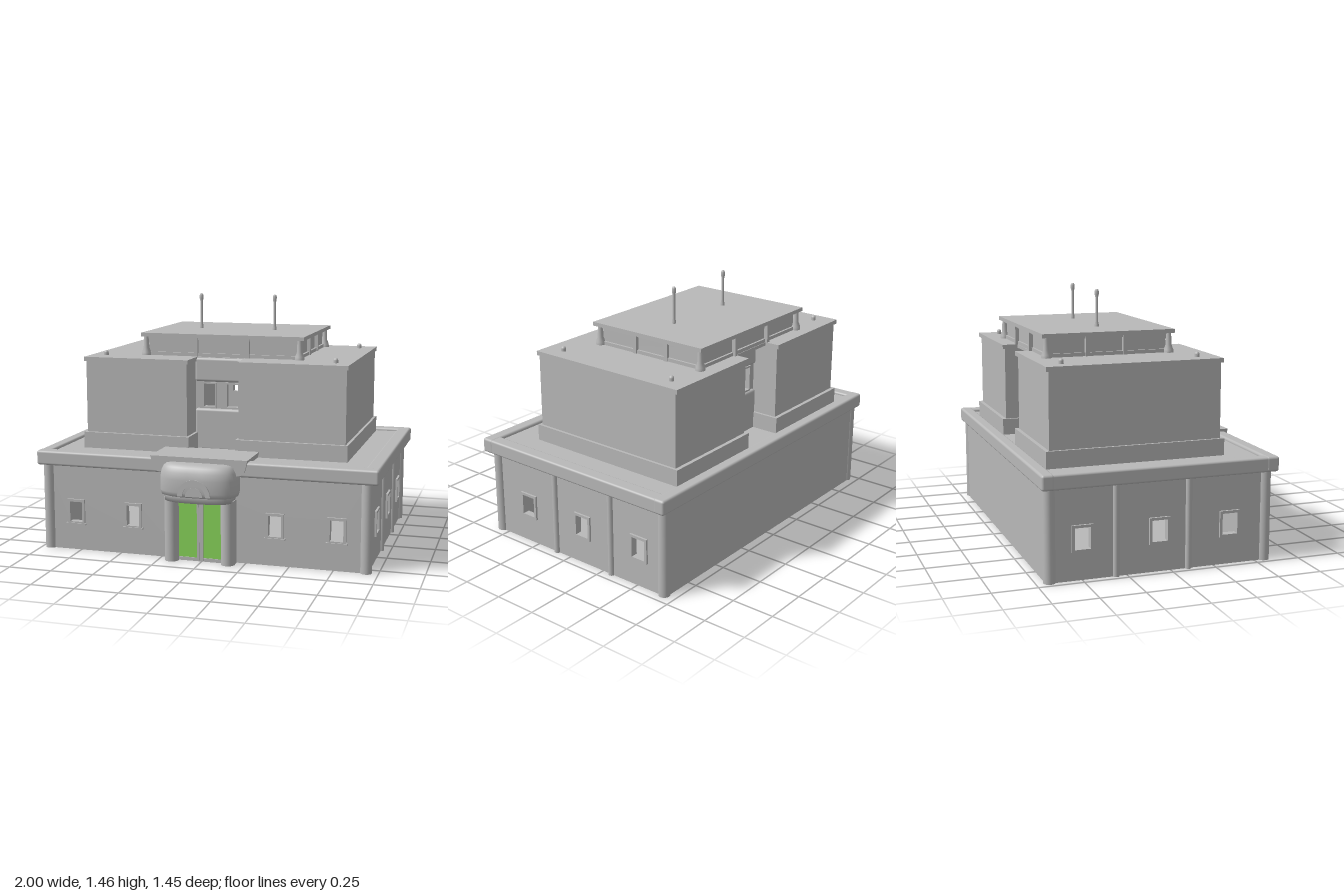
import * as THREE from 'three';
import { RoundedBoxGeometry } from 'three/addons/geometries/RoundedBoxGeometry.js';

export function createModel() {
  const model = new THREE.Group();
  model.name = 'building';
  const grey = new THREE.MeshStandardMaterial({ color: 0xb8b8b8 });
  grey.name = 'concrete grey';
  const green = new THREE.MeshStandardMaterial({ color: 0x88d45a, side: THREE.DoubleSide });
  green.name = 'door green';
  const CX = -0.008; // centre line of everything below the parapet

  function add(name, geometry, x = 0, y = 0, z = 0, material = grey) {
    const mesh = new THREE.Mesh(geometry, material);
    mesh.name = name;
    mesh.position.set(x, y, z);
    model.add(mesh);
    return mesh;
  }
  // box from its limits
  function box(name, x0, x1, y0, y1, z0, z1, round = 0, material = grey) {
    const s = [x1 - x0, y1 - y0, z1 - z0];
    const g = round ? new RoundedBoxGeometry(...s, 3, round) : new THREE.BoxGeometry(...s);
    return add(name, g, (x0 + x1) / 2, (y0 + y1) / 2, (z0 + z1) / 2, material);
  }
  function rect(target, x0, x1, y0, y1) {
    target.moveTo(x0, y0);
    target.lineTo(x1, y0);
    target.lineTo(x1, y1);
    target.lineTo(x0, y1);
    target.closePath();
    return target;
  }
  // upright plate with rectangular openings [x0, x1, y0, y1]
  function plate(limits, holes, depth) {
    const shape = rect(new THREE.Shape(), ...limits);
    for (const h of holes) shape.holes.push(rect(new THREE.Path(), ...h));
    return new THREE.ExtrudeGeometry(shape, { depth, bevelEnabled: false });
  }
  const opening = (c, w) => [c - w / 2, c + w / 2, 0.17, 0.288];
  const frame = (w) => plate([-w / 2 - 0.015, w / 2 + 0.015, 0.155, 0.303], [opening(0, w)], 0.014);

  // Ground floor: hollow shell with window openings
  const frontX = [-0.775, -0.422, 0.418, 0.768];
  add('frontWall', plate([-0.96, 0.944, 0, 0.52],
    [...frontX.map((c) => opening(c, 0.075)), [-0.136, 0.12, 0.015, 0.37]], 0.03), 0, 0, 0.54);
  for (const x of frontX) {
    add('frontWindowFrame', frame(0.075), x, 0, 0.568);
    box('frontWindowSill', x - 0.06, x + 0.06, 0.152, 0.162, 0.565, 0.588);
  }
  box('backWall', -0.96, 0.944, 0, 0.52, -0.7, -0.67);
  const sideZ = { 1: [0.312, -0.105, -0.515], '-1': [0.342, -0.067, -0.5] };
  for (const s of [1, -1]) {
    const wall = add('sideWall', plate([-0.565, 0.695, 0, 0.52],
      sideZ[s].map((z) => opening(-z, 0.088)), 0.03), s > 0 ? 0.914 : -0.96);
    wall.rotation.y = Math.PI / 2;
    for (const z of sideZ[s]) {
      add('sideWindowFrame', frame(0.088), CX + s * 0.95, 0, z).rotation.y = s * Math.PI / 2;
    }
    for (const z of [0.102, -0.312]) {
      add('sidePillar', new THREE.CylinderGeometry(0.018, 0.018, 0.51, 16), CX + s * 0.952, 0.255, z);
    }
    for (const z of [0.558, -0.677]) {
      add('cornerPillar', new THREE.CylinderGeometry(0.033, 0.033, 0.51, 24), CX + s * 0.939, 0.255, z);
    }
  }
  box('groundFloor', -0.94, 0.924, 0.005, 0.015, -0.68, 0.56);

  // Flat lower roof and parapet
  box('lowerRoof', -0.95, 0.935, 0.508, 0.572, -0.69, 0.57);
  box('frontParapet', -1, 1, 0.505, 0.59, 0.545, 0.62, 0.014);
  box('backParapet', -1, 1, 0.505, 0.59, -0.727, -0.657, 0.014);
  box('leftParapet', 0.918, 0.998, 0.505, 0.588, -0.68, 0.57, 0.012);
  box('rightParapet', -0.998, -0.93, 0.505, 0.588, -0.68, 0.57, 0.012);

  // Entrance slab with sloping sides
  const slab = new THREE.Shape();
  slab.moveTo(-0.232, 0.515);
  slab.lineTo(0.232, 0.515);
  slab.quadraticCurveTo(0.265, 0.52, 0.272, 0.56);
  slab.lineTo(0.283, 0.605);
  slab.lineTo(-0.283, 0.605);
  slab.lineTo(-0.272, 0.56);
  slab.quadraticCurveTo(-0.265, 0.52, -0.232, 0.515);
  add('entranceSlab', new THREE.ExtrudeGeometry(slab, { depth: 0.27, bevelEnabled: false }), CX, 0, 0.365);

  // Bulging entrance canopy: a lathe squared off in plan
  function bulge(name, profile, width, depth, zPower) {
    const g = new THREE.LatheGeometry(profile.map((p) => new THREE.Vector2(...p)), 64, Math.PI);
    const p = g.attributes.position;
    for (let i = 0; i < p.count; i++) {
      const x = p.getX(i), z = p.getZ(i), r = Math.hypot(x, z) || 1e-6;
      const square = (v) => Math.sign(v) * Math.abs(v / r) ** 0.7;
      p.setX(i, square(x) * r * width);
      p.setZ(i, square(z) * r ** zPower * depth);
    }
    g.computeVertexNormals();
    add(name, g, CX, 0, 0.6);
  }
  bulge('canopy', [[0, 0.388], [0.9, 0.388], [0.97, 0.395], [1, 0.42], [1, 0.49], [0.975, 0.53],
    [0.92, 0.557], [0.85, 0.571], [0.76, 0.576], [0.4, 0.578], [0, 0.578]], 0.225, 0.12, 2.5);
  bulge('canopyCollar', [[0, 0.36], [1, 0.36], [1, 0.392]], 0.2, 0.108, 1);

  // Half-round ornament on the canopy
  function arch(name, outer, inner, front) {
    const s = new THREE.Shape();
    s.absarc(0, 0, outer, 0, Math.PI, false);
    if (inner) s.absarc(0, 0, inner, Math.PI, 0, true);
    s.closePath();
    add(name, new THREE.ExtrudeGeometry(s, { depth: 0.05, bevelEnabled: false, curveSegments: 24 }),
      CX, 0.402, front - 0.05);
  }
  arch('archRing', 0.095, 0.066, 0.725);
  arch('archCentre', 0.05, 0, 0.724);

  // Entrance pillars, doors and door frame
  for (const s of [1, -1]) {
    const x = CX + s * 0.166;
    add('entrancePillar', new THREE.CylinderGeometry(0.04, 0.04, 0.37, 28), x, 0.185, 0.615);
    box('pillarBacking', x - 0.038, x + 0.038, 0, 0.37, 0.55, 0.612);
    box('door', CX + s * 0.073 - 0.055, CX + s * 0.073 + 0.055, 0.02, 0.365, 0.592, 0.6, 0, green);
    box('doorEdge', CX + s * 0.012 - 0.006, CX + s * 0.012 + 0.006, 0.005, 0.365, 0.585, 0.61);
  }
  box('doorDivider', CX - 0.007, CX + 0.007, 0.005, 0.365, 0.585, 0.604);
  box('doorSill', -0.136, 0.12, 0, 0.02, 0.55, 0.605);

  // Two upper blocks with plinths, caps and roof lights
  for (const s of [1, -1]) {
    const span = (name, inner, outer, y0, y1, z0, z1) => {
      const a = CX + s * inner, b = CX + s * outer;
      box(name, Math.min(a, b), Math.max(a, b), y0, y1, z0, z1);
    };
    span('blockPlinth', 0.14, 0.793, 0.56, 0.667, -0.647, 0.378);
    span('upperBlock', 0.156, 0.778, 0.66, 1.095, -0.625, 0.358);
    span('blockCap', 0.146, 0.787, 1.09, 1.115, -0.64, 0.37);
    for (const z of [0.25, -0.53]) {
      const x = CX + s * 0.694;
      add('roofLightBase', new THREE.CylinderGeometry(0.014, 0.014, 0.018, 16), x, 1.122, z);
      add('roofLight', new THREE.SphereGeometry(0.014, 16, 10), x, 1.13, z);
    }
  }

  // Recessed middle bay between the blocks, windows front and back
  const bayWindows = [-1, 1].map((s) => [CX + s * 0.07 - 0.034, CX + s * 0.07 + 0.034, 0.822, 0.957]);
  for (const [z, out] of [[0.165, 1], [-0.45, -1]]) {
    add('bayWall', plate([CX - 0.158, CX + 0.158, 0.56, 1.11], bayWindows, 0.03), 0, 0, z - 0.015);
    const face = z + out * 0.015;
    for (const h of bayWindows) {
      const outer = [h[0] - 0.009, h[1] + 0.009, h[2] - 0.01, h[3] + 0.01];
      add('bayWindowFrame', plate(outer, [h], 0.012), 0, 0, face - 0.006 + out * 0.004);
    }
    box('bayLowerBand', CX - 0.158, CX + 0.158, 0.56, 0.81, face - 0.018, face + 0.018, 0.016);
    box('bayUpperBand', CX - 0.158, CX + 0.158, 0.97, 1.112, face - 0.018, face + 0.018, 0.016);
  }
  box('bayRoof', CX - 0.158, CX + 0.158, 1.095, 1.114, -0.55, 0.185);

  // Glazed-looking top storey with posts and a thin roof
  box('topStorey', CX - 0.455, CX + 0.455, 1.11, 1.23, -0.535, 0.16);
  box('topStoreySill', CX - 0.468, CX + 0.468, 1.112, 1.135, -0.547, 0.173);
  box('topStoreyHead', CX - 0.468, CX + 0.468, 1.212, 1.23, -0.547, 0.173);
  box('topRoof', -0.499, 0.49, 1.227, 1.249, -0.575, 0.2);
  const flare = [[0.028, 0], [0.027, 0.018], [0.017, 0.045], [0.014, 0.115]].map((p) => new THREE.Vector2(...p));
  for (const s of [1, -1]) {
    for (const z of [0.172, -0.547]) {
      add('topCornerPost', new THREE.LatheGeometry(flare, 16), CX + s * 0.468, 1.114, z);
      box('topPost', CX + s * 0.157 - 0.011, CX + s * 0.157 + 0.011, 1.112, 1.23, z - 0.015, z + 0.008);
    }
    for (const z of [-0.09, -0.31]) {
      const x = CX + s * 0.465;
      box('topSidePost', x - 0.011, x + 0.011, 1.112, 1.23, z - 0.012, z + 0.012);
    }
    // Antennas
    const rod = [[0.012, 0], [0.012, 0.015], [0.008, 0.03], [0.008, 0.17], [0.012, 0.185], [0.012, 0.205],
      [0.008, 0.215], [0, 0.217]].map((p) => new THREE.Vector2(...p));
    add('antenna', new THREE.LatheGeometry(rod, 14), CX + s * 0.232, 1.247, -0.177);
  }
  return model;
}
